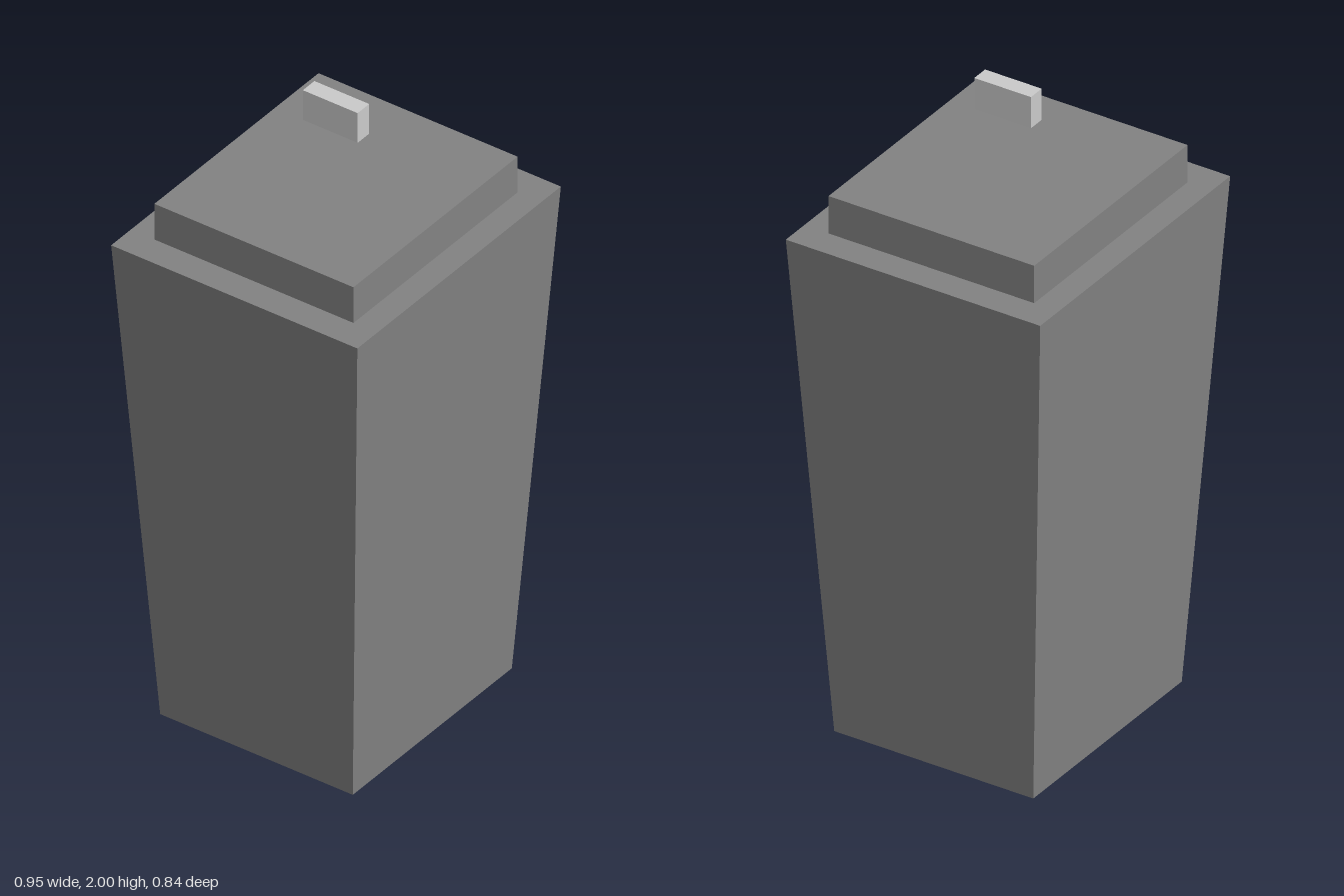
import * as THREE from 'three';

const darkGrey = new THREE.MeshStandardMaterial({ color: 0x838383, flatShading: true });
const lightGrey = new THREE.MeshStandardMaterial({ color: 0xcccccc, flatShading: true });

// Box standing on height y, with its lower end optionally narrowed
function block(name, [w, h, d], y, material, taperX = 1, taperZ = 1) {
  const geometry = new THREE.BoxGeometry(w, h, d).translate(0, h / 2, 0);
  const p = geometry.attributes.position;
  for (let i = 0; i < p.count; i++) {
    if (p.getY(i) < h / 2) {
      p.setX(i, p.getX(i) * taperX);
      p.setZ(i, p.getZ(i) * taperZ);
    }
  }
  geometry.computeVertexNormals();
  const mesh = new THREE.Mesh(geometry, material);
  mesh.name = name;
  mesh.position.y = y;
  return mesh;
}

export function createModel() {
  const model = new THREE.Group();
  model.name = 'taperedBin';
  model.add(
    // Container, narrower at the base
    block('body', [0.952, 1.6, 0.836], 0, darkGrey, 0.372 / 0.476, 0.327 / 0.418),
    // Raised cover inset from the rim
    block('lid', [0.768, 0.12, 0.676], 1.6, darkGrey),
    // Small grip hovering above the cover
    block('handle', [0.054, 0.1, 0.186], 1.9, lightGrey),
  );
  return model;
}
